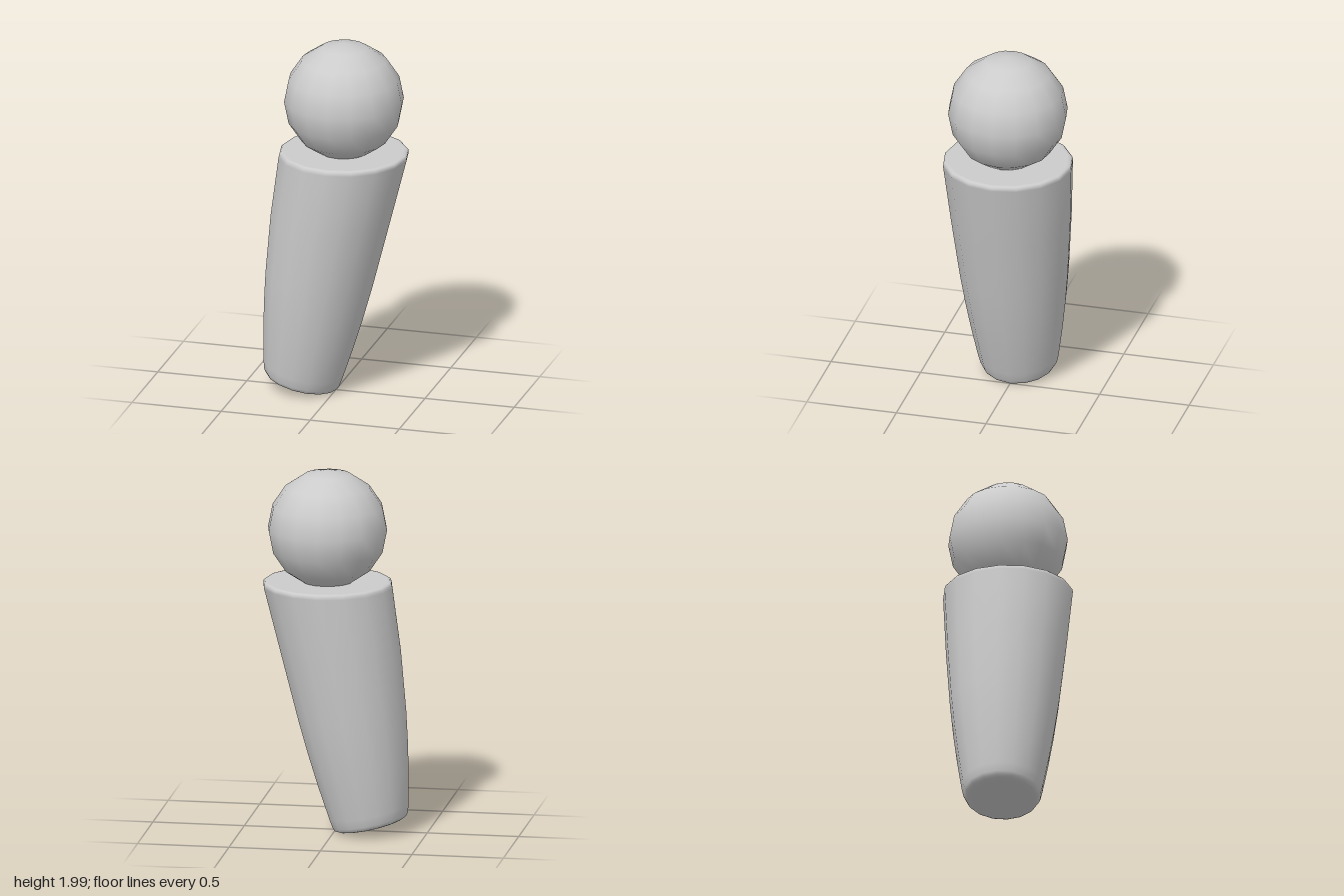
import * as THREE from 'three';

const SIDES = 16;

// Tilted cross-sections of the body, bottom to top: [centre x, centre y, radius, tilt]
const SECTIONS = [
  [-0.19, 0.045, 0.165, 0.22],
  [-0.19, 0.047, 0.187, 0.22],
  [-0.19, 0.053, 0.2, 0.22],
  [-0.188, 0.072, 0.211, 0.215],
  [-0.181, 0.12, 0.222, 0.205],
  [-0.15, 0.3, 0.252, 0.17],
  [-0.121, 0.47, 0.276, 0.145],
  [-0.09, 0.65, 0.297, 0.115],
  [-0.028, 1.0, 0.328, 0.055],
  [0.043, 1.358, 0.353, 0],
  [0.045, 1.374, 0.351, 0],
  [0.045, 1.383, 0.343, 0],
  [0.045, 1.385, 0.328, 0],
];

function sectionPoints([cx, cy, r, tilt]) {
  const points = [];
  for (let j = 0; j < SIDES; j++) {
    const a = (j / SIDES) * Math.PI * 2;
    const u = r * Math.cos(a);
    points.push(cx + u * Math.cos(tilt), cy - u * Math.sin(tilt), r * Math.sin(a));
  }
  return points;
}

function buildGeometry(positions, index) {
  const geometry = new THREE.BufferGeometry();
  geometry.setAttribute('position', new THREE.Float32BufferAttribute(positions, 3));
  geometry.setIndex(index);
  geometry.computeVertexNormals();
  return geometry;
}

// Smooth skin running through all sections
function loft(sections) {
  const index = [];
  for (let i = 0; i < sections.length - 1; i++) {
    for (let j = 0; j < SIDES; j++) {
      const k = (j + 1) % SIDES;
      const a = i * SIDES + j, b = i * SIDES + k;
      const c = a + SIDES, d = b + SIDES;
      index.push(a, c, b, b, c, d);
    }
  }
  return buildGeometry(sections.flatMap(sectionPoints), index);
}

// Flat disc closing one section
function cap(section, facingUp) {
  const index = [];
  for (let j = 0; j < SIDES; j++) {
    const k = (j + 1) % SIDES;
    index.push(SIDES, facingUp ? k : j, facingUp ? j : k);
  }
  return buildGeometry([...sectionPoints(section), section[0], section[1], 0], index);
}

export function createModel() {
  const group = new THREE.Group();
  const material = new THREE.MeshStandardMaterial({ color: 0xcccccc });
  const add = (name, geometry) => {
    const mesh = new THREE.Mesh(geometry, material);
    mesh.name = name;
    group.add(mesh);
    return mesh;
  };

  // Leaning, tapered body with rounded rims
  add('body', loft(SECTIONS));
  add('bodyBase', cap(SECTIONS[0], false));
  add('bodyTop', cap(SECTIONS[SECTIONS.length - 1], true));

  // Round head resting on the body
  add('head', new THREE.SphereGeometry(0.325, 16, 8)).position.set(0.045, 1.675, 0);

  return group;
}
